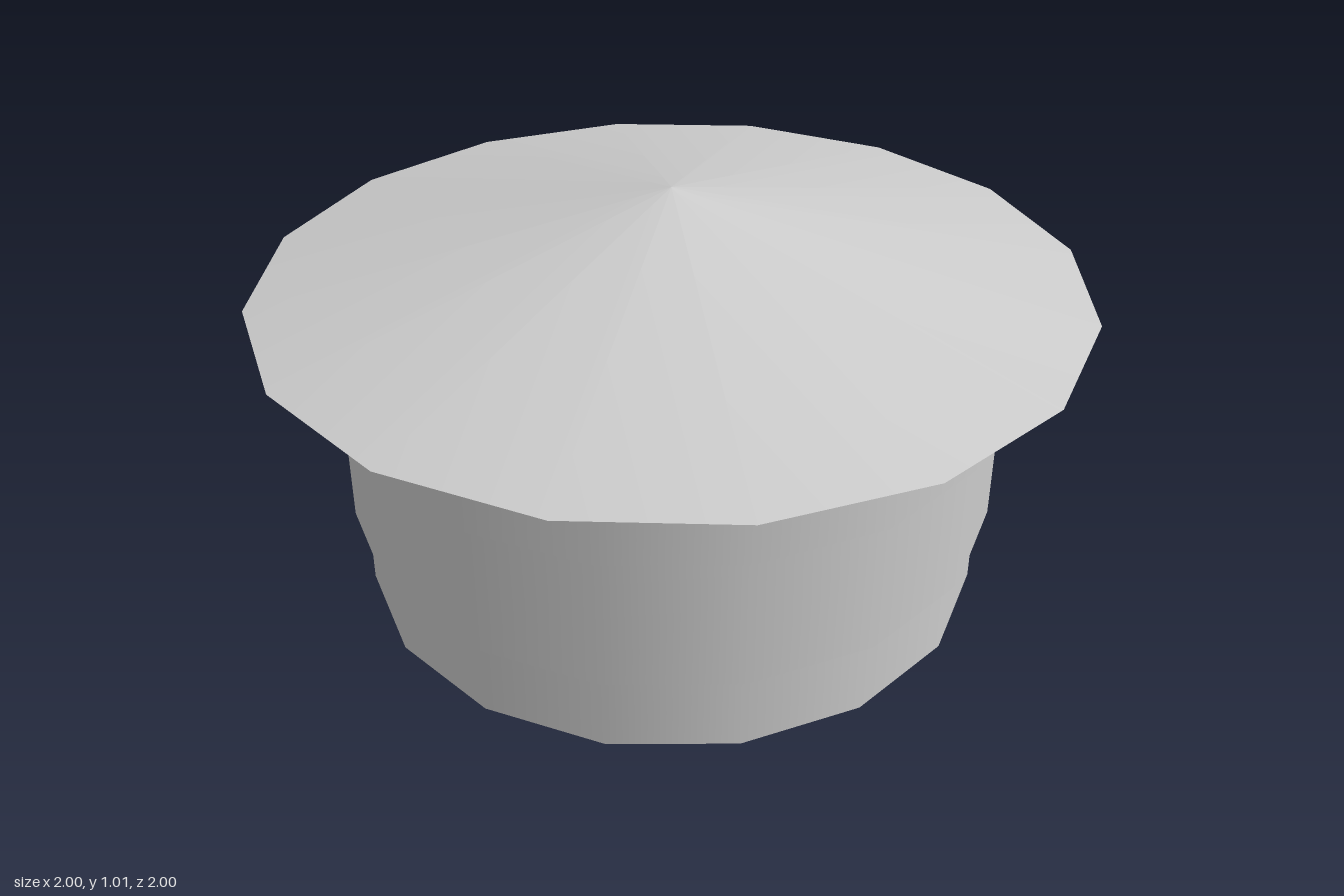
import * as THREE from 'three';

const SIDES = 16;

export function createModel() {
  const model = new THREE.Group();
  model.name = 'cappedVent';
  const solid = new THREE.MeshStandardMaterial({ color: 0xcccccc });
  const open = new THREE.MeshStandardMaterial({ color: 0xcccccc, side: THREE.DoubleSide });

  const add = (name, geometry, material, y) => {
    const mesh = new THREE.Mesh(geometry, material);
    mesh.name = name;
    mesh.position.y = y;
    model.add(mesh);
    return mesh;
  };

  // Thin open wall sections, each wider than the one below
  const sections = [
    { name: 'lowerCollar', radius: 0.77, from: 0, to: 0.2 },
    { name: 'middleCollar', radius: 0.8, from: 0.2, to: 0.535 },
    { name: 'upperCollar', radius: 0.82, from: 0.535, to: 0.77 },
  ];
  sections.forEach(({ name, radius, from, to }, i) => {
    const wall = new THREE.CylinderGeometry(radius, radius, to - from, SIDES, 1, true);
    add(name, wall, open, (from + to) / 2);

    // Flat ledge bridging to the narrower section below
    if (i > 0) {
      const ledge = new THREE.RingGeometry(sections[i - 1].radius, radius, SIDES);
      ledge.rotateX(Math.PI / 2);
      add(name + 'Ledge', ledge, open, from);
    }
  });

  // Shallow conical roof with a closed underside, turned slightly from the walls
  const roof = new THREE.ConeGeometry(1, 0.24, SIDES, 1, false, -0.04);
  add('roof', roof, solid, 0.77 + 0.12);

  return model;
}
